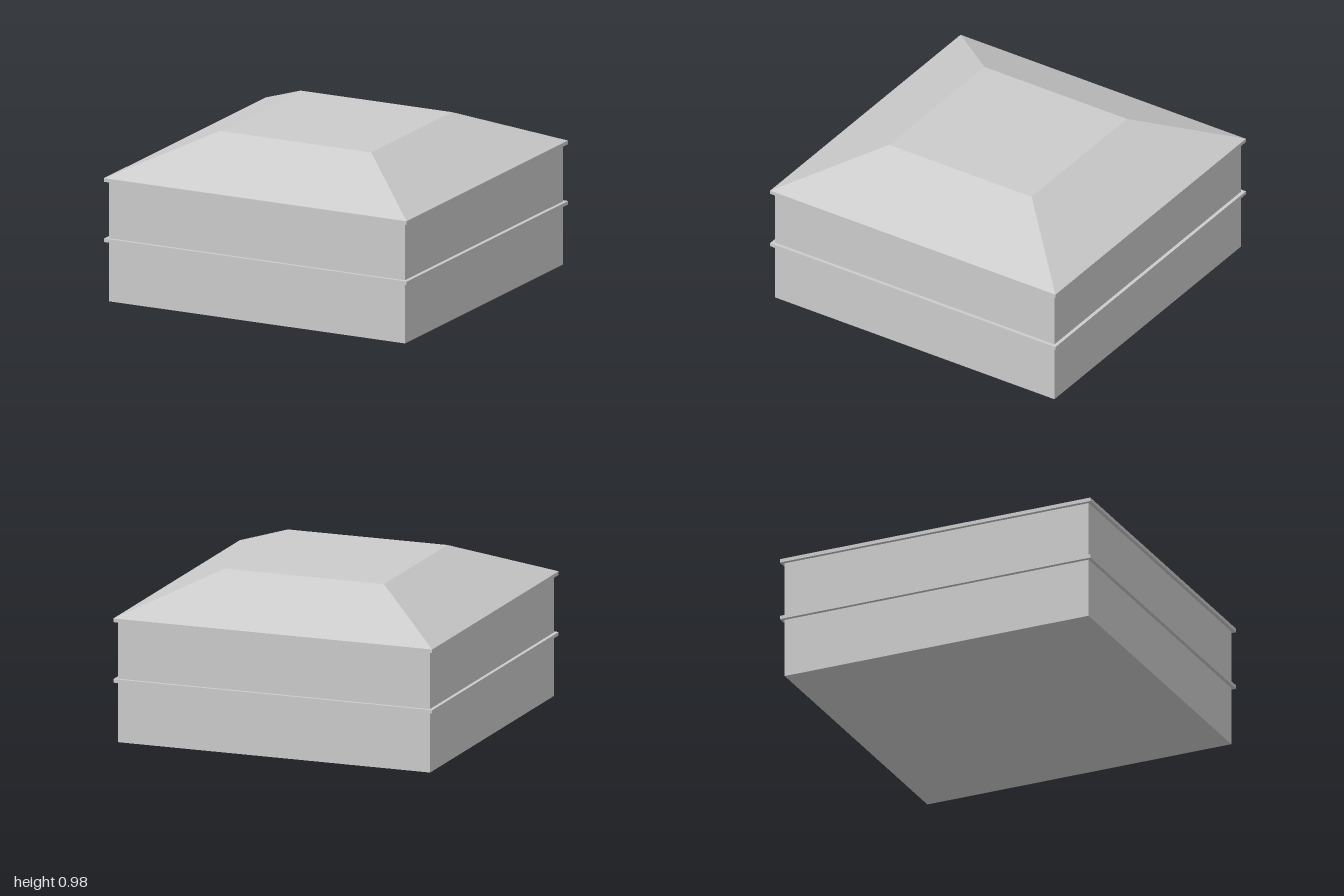
import * as THREE from 'three';

const material = new THREE.MeshStandardMaterial({ color: 0xcccccc, flatShading: true });

// Square block of a given width standing between two heights
function block(name, width, y0, y1) {
  const mesh = new THREE.Mesh(new THREE.BoxGeometry(width, y1 - y0, width), material);
  mesh.name = name;
  mesh.position.y = (y0 + y1) / 2;
  return mesh;
}

// Four-sided roof with sloping sides and a flat top
function hippedRoof(bottomWidth, topWidth, y0, y1) {
  const geometry = new THREE.CylinderGeometry(
    topWidth * Math.SQRT1_2, bottomWidth * Math.SQRT1_2, y1 - y0, 4);
  geometry.rotateY(Math.PI / 4);
  const mesh = new THREE.Mesh(geometry, material);
  mesh.name = 'roof';
  mesh.position.y = (y0 + y1) / 2;
  return mesh;
}

export function createModel() {
  const model = new THREE.Group();
  model.name = 'building';
  model.add(
    block('lowerStorey', 1.957, 0, 0.361),
    block('floorBand', 2, 0.361, 0.382),
    block('upperStorey', 1.957, 0.382, 0.725),
    block('eaves', 2, 0.725, 0.747),
    hippedRoof(2, 1, 0.747, 0.976),
  );
  return model;
}
